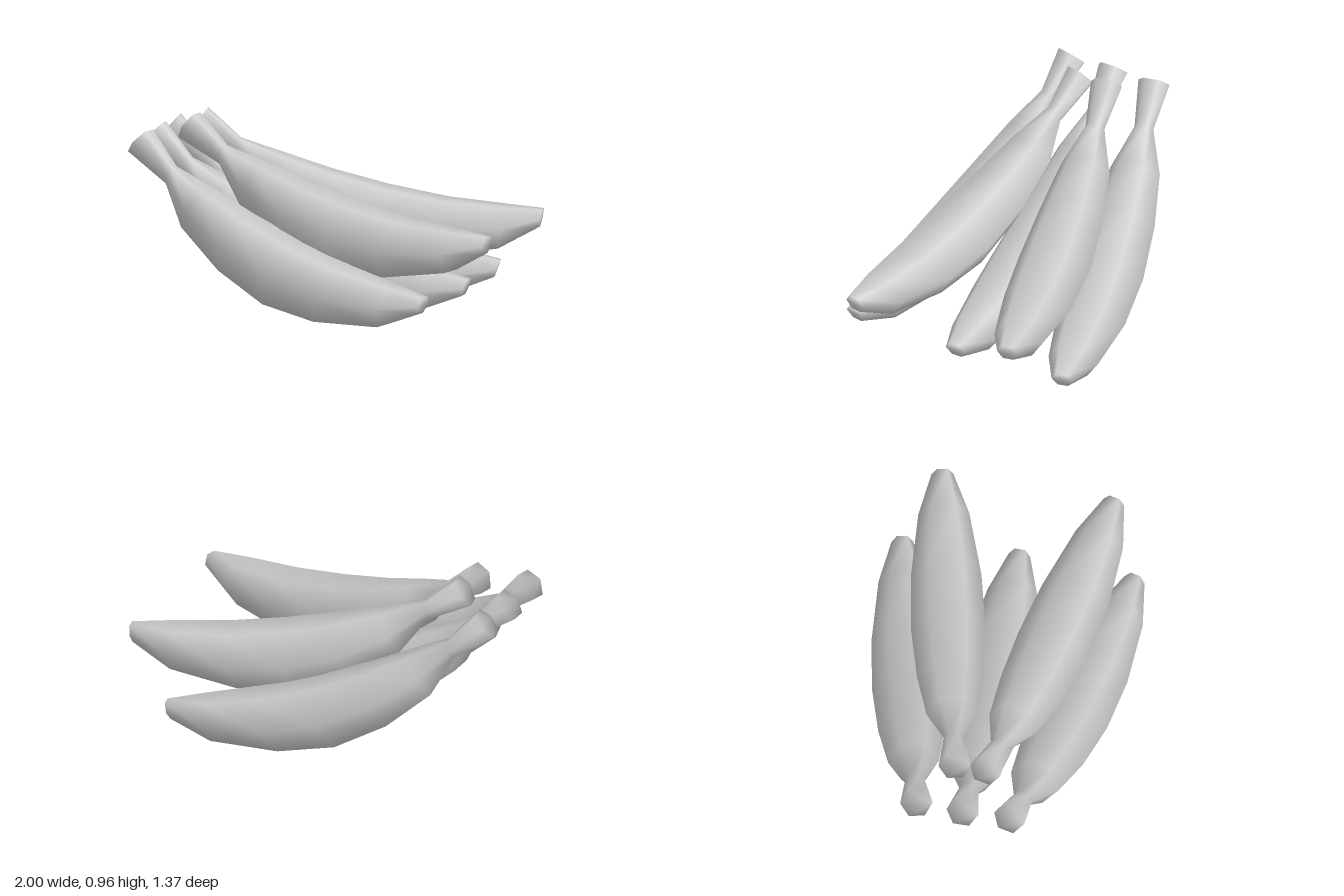
import * as THREE from 'three';

const SIDES = 6;
// Cross-sections from stem to tip: [topX, topY, bottomX, bottomY, halfWidth]
const SECTIONS = [
  [-0.90, 0.89, -1.00, 0.78, 0.083],
  [-0.75, 0.715, -0.785, 0.63, 0.05],
  [-0.55, 0.61, -0.67, 0.42, 0.13],
  [-0.32, 0.495, -0.44, 0.22, 0.17],
  [-0.04, 0.378, -0.17, 0.07, 0.19],
  [0.25, 0.28, 0.13, 0.005, 0.18],
  [0.55, 0.21, 0.49, 0.005, 0.13],
  [0.74, 0.17, 0.71, 0.085, 0.055],
];
const STEM = [-0.95, 0.835]; // centre of the stem end, used as the pivot

// Six-sided curved body with flat top and bottom, smooth shaded
function bananaGeometry() {
  const positions = [], index = [];
  for (const [tx, ty, bx, by, w] of SECTIONS) {
    for (let j = 0; j < SIDES; j++) {
      const a = (j / SIDES) * Math.PI * 2;
      const up = Math.sin(a) / Math.sin(Math.PI / 3) / 2;
      positions.push(
        (tx + bx) / 2 + (tx - bx) * up - STEM[0],
        (ty + by) / 2 + (ty - by) * up - STEM[1],
        w * Math.cos(a)
      );
    }
  }
  const last = (SECTIONS.length - 1) * SIDES;
  for (let i = 0; i < last; i += SIDES) {
    for (let j = 0; j < SIDES; j++) {
      const k = (j + 1) % SIDES;
      const a = i + j, b = i + k, c = a + SIDES, d = b + SIDES;
      index.push(a, c, b, b, c, d);
    }
  }
  // Stem and tip caps
  for (let j = 1; j < SIDES - 1; j++) {
    index.push(0, j, j + 1, last, last + j + 1, last + j);
  }
  const g = new THREE.BufferGeometry();
  g.setAttribute('position', new THREE.Float32BufferAttribute(positions, 3));
  g.setIndex(index);
  g.computeVertexNormals();
  return g;
}

export function createModel() {
  const group = new THREE.Group();
  group.name = 'bananaBunch';
  const geometry = bananaGeometry();
  const material = new THREE.MeshStandardMaterial({ color: 0xcccccc });

  const addBanana = (name, x, y, z, yaw, pitch) => {
    const mesh = new THREE.Mesh(geometry, material);
    mesh.name = name;
    mesh.position.set(x, y, z);
    mesh.rotation.set(0, yaw, pitch);
    group.add(mesh);
  };

  // Lower row: one in the middle and a fanned-out pair
  addBanana('middleBanana', STEM[0], STEM[1], 0, 0, 0);
  for (const [side, s] of [['Front', 1], ['Back', -1]]) {
    addBanana('lowerBanana' + side, -0.943, STEM[1], s * 0.24, -s * 0.217, 0);
    // Upper row: a pair resting on top, pitched a little flatter
    addBanana('upperBanana' + side, -0.735, 0.9, s * 0.078, -s * 0.21, 0.138);
  }
  return group;
}
